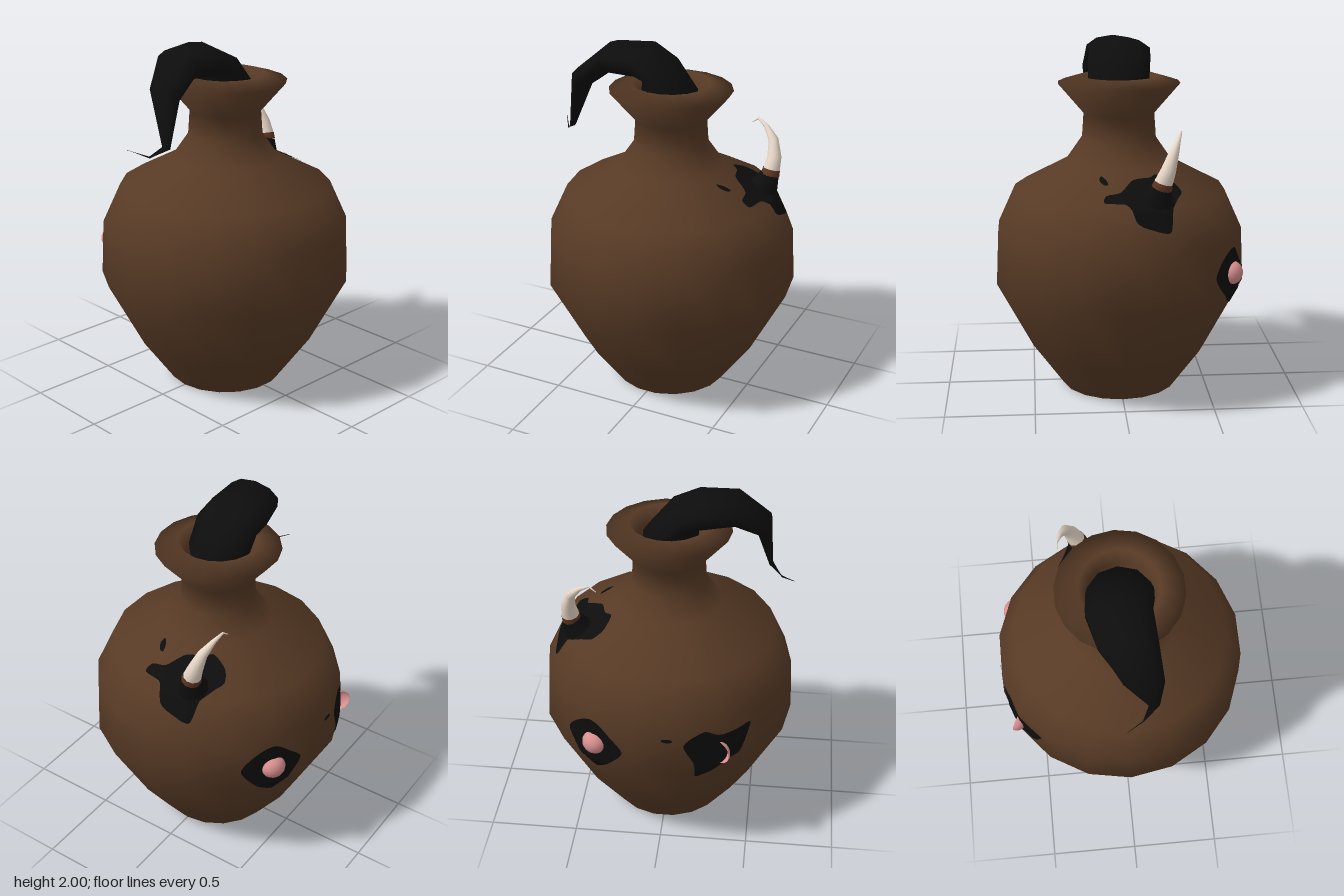
import * as THREE from 'three';

const mat = (name, color) => {
  const m = new THREE.MeshStandardMaterial({ color, side: THREE.DoubleSide });
  m.name = name;
  return m;
};

const SIDES = 18;
// outer wall of the jar, then over the rim and down inside the neck
const WALL = [[0.33, 0], [0.51, 0.25], [0.715, 0.64], [0.7, 0.95], [0.6, 1.17],
  [0.3, 1.33], [0.21, 1.46], [0.2, 1.6], [0.345, 1.77]];
const INSIDE = [[0.215, 1.81], [0.175, 1.72], [0.16, 1.5], [0, 1.48]];

// how far a flat facet lies inside the full circle at a given angle
function facet(angle) {
  const step = (Math.PI * 2) / SIDES;
  const mid = (Math.floor(angle / step) + 0.5) * step;
  return Math.cos(step / 2) / Math.cos(angle - mid);
}

function interpolate(points, key, value) {
  for (let i = 0; i < points.length - 1; i++) {
    const a = points[i], b = points[i + 1];
    const t = (value - a[key]) / (b[key] - a[key]);
    if (t >= 0 && t <= 1) return a[1 - key] + (b[1 - key] - a[1 - key]) * t;
  }
  return points[points.length - 1][1 - key];
}

// shoulder position from plan coordinates
function onShoulder(x, z) {
  const r = Math.hypot(x, z) / facet(Math.atan2(z, x));
  const y = interpolate(WALL.slice(3, 8), 0, r);
  const k = 1 + 0.004 / r;
  return [x * k, y + 0.005, z * k];
}

// belly position from a bearing and a height
function onBelly(angle, y) {
  const r = interpolate(WALL, 1, y) * facet(angle) + 0.006;
  return [r * Math.cos(angle), y, r * Math.sin(angle)];
}

// thin blotch that follows the jar: rings shrinking from an outline to a centre
function blotch(outline, [cu, cv], place, count = 64, rings = 12) {
  const curve = new THREE.CatmullRomCurve3(
    outline.map(([u, v]) => new THREE.Vector3(u, v, 0)), true, 'catmullrom', 0.4);
  const edge = curve.getPoints(count).slice(0, count);
  const pos = [], index = [];
  for (let i = 0; i <= rings; i++) {
    for (const p of edge) {
      const t = i / rings;
      pos.push(...place(cu + (p.x - cu) * t, cv + (p.y - cv) * t));
    }
  }
  for (let i = 0; i < rings; i++) {
    for (let j = 0; j < count; j++) {
      const a = i * count + j, b = i * count + (j + 1) % count;
      index.push(a, a + count, b + count);
      if (i > 0) index.push(a, b + count, b);
    }
  }
  const g = new THREE.BufferGeometry();
  g.setAttribute('position', new THREE.Float32BufferAttribute(pos, 3));
  g.setIndex(index);
  g.computeVertexNormals();
  return g;
}

const oval = (u, v, ru, rv) => Array.from({ length: 8 }, (_, i) =>
  [u + ru * Math.cos(i * Math.PI / 4), v + rv * Math.sin(i * Math.PI / 4)]);

// skin over elliptical rings given as centre and two half axes
function loft(rings, sides = 10) {
  const pos = [], index = [];
  for (const { c, a, b } of rings) {
    for (let j = 0; j < sides; j++) {
      const t = (j / sides) * Math.PI * 2;
      const p = c.clone().addScaledVector(a, Math.cos(t)).addScaledVector(b, Math.sin(t));
      pos.push(p.x, p.y, p.z);
    }
  }
  for (let i = 0; i < rings.length - 1; i++) {
    for (let j = 0; j < sides; j++) {
      const p = i * sides + j, q = i * sides + (j + 1) % sides;
      index.push(p, q, q + sides, p, q + sides, p + sides);
    }
  }
  const g = new THREE.BufferGeometry();
  g.setAttribute('position', new THREE.Float32BufferAttribute(pos, 3));
  g.setIndex(index);
  g.computeVertexNormals();
  return g;
}

// round rings set square to a path of [x, y, z, radius]
function roundRings(path) {
  const v = path.map(p => new THREE.Vector3(p[0], p[1], p[2]));
  return path.map((p, i) => {
    const t = v[Math.min(i + 1, v.length - 1)].clone().sub(v[Math.max(i - 1, 0)]).normalize();
    const a = t.clone().cross(new THREE.Vector3(0, 0, 1)).normalize();
    const b = t.clone().cross(a);
    return { c: v[i], a: a.multiplyScalar(p[3]), b: b.multiplyScalar(p[3]) };
  });
}

export function createModel() {
  const group = new THREE.Group();
  const clay = mat('brown clay', 0x573a25);
  const black = mat('black', 0x0d0d0d);
  const ivory = mat('ivory', 0xe8d8c8);
  const pink = mat('pink', 0xd98f8f);
  const rust = mat('rust brown', 0x5e3522);
  const add = (name, geometry, material) => {
    const m = new THREE.Mesh(geometry, material);
    m.name = name;
    group.add(m);
    return m;
  };

  // jar
  const profile = [...WALL, ...INSIDE].map(([r, y]) => new THREE.Vector2(r, y));
  add('jar', new THREE.LatheGeometry(profile, SIDES, Math.PI / 2), clay);
  add('jarBase', new THREE.CircleGeometry(0.33, SIDES).rotateX(Math.PI / 2), clay);

  // tentacle out of the neck: upper x, y; lower x, y; z centre; z half width
  const tentacle = [
    [0.15, 1.55, -0.16, 1.55, 0, 0.15], [0.145, 1.75, -0.16, 1.76, 0, 0.175],
    [0, 1.92, -0.14, 1.815, -0.005, 0.185], [-0.155, 2, -0.19, 1.82, -0.02, 0.18],
    [-0.37, 1.99, -0.355, 1.83, 0.01, 0.16], [-0.55, 1.83, -0.475, 1.74, 0.075, 0.11],
    [-0.565, 1.52, -0.545, 1.51, 0.13, 0.03], [-0.62, 1.46, -0.62, 1.47, 0.07, 0.006],
    [-0.69, 1.5, -0.688, 1.497, -0.03, 0.001],
  ].map(([ux, uy, lx, ly, z, h]) => ({
    c: new THREE.Vector3((ux + lx) / 2, (uy + ly) / 2, z),
    a: new THREE.Vector3((ux - lx) / 2, (uy - ly) / 2, 0),
    b: new THREE.Vector3(0, 0, -h),
  }));
  add('tentacle', loft(tentacle), black);

  // small horn on the shoulder
  add('hornRoot', loft(roundRings([[0.47, 1.16, -0.17, 0.11], [0.505, 1.23, -0.18, 0.075],
    [0.525, 1.285, -0.19, 0.053]])), black);
  add('hornBand', loft(roundRings([[0.524, 1.28, -0.19, 0.055], [0.528, 1.315, -0.2, 0.051]])), rust);
  add('horn', loft(roundRings([[0.528, 1.305, -0.197, 0.05], [0.533, 1.38, -0.225, 0.041],
    [0.512, 1.47, -0.255, 0.028], [0.455, 1.53, -0.285, 0.014],
    [0.4, 1.56, -0.305, 0.006], [0.36, 1.53, -0.31, 0.002]])), ivory);

  // blotches on the shoulder
  add('shoulderBlotch', blotch([[0.3, -0.18], [0.33, -0.27], [0.39, -0.31], [0.45, -0.285],
    [0.54, -0.25], [0.61, -0.23], [0.62, -0.14], [0.615, -0.05], [0.55, 0], [0.525, 0.11],
    [0.475, 0.1], [0.46, 0.02], [0.37, -0.05], [0.34, -0.14]], [0.48, -0.16], onShoulder), black);
  add('shoulderSpot', blotch([[0.33, 0.12], [0.36, 0.095], [0.4, 0.085], [0.395, 0.11],
    [0.36, 0.13]], [0.365, 0.11], onShoulder, 16, 3), black);

  // blotches on the back of the belly: bearing and height about each bump
  const right = -Math.PI / 3, left = -Math.PI * 2 / 3;
  const around = bearing => (u, v) => onBelly(bearing - u, 0.75 + v);
  add('rightBlotch', blotch([[0, 0.15], [0.15, 0.07], [0.255, -0.01], [0.13, -0.11], [0, -0.17],
    [-0.14, -0.11], [-0.27, 0.01], [-0.16, 0.1]], [0, 0], around(right)), black);
  add('leftBlotch', blotch([[-0.31, 0.08], [-0.15, 0.15], [-0.04, 0.12], [0.12, 0.115],
    [0.26, 0.13], [0.24, 0.07], [0.16, -0.04], [0.02, -0.065], [-0.2, -0.16], [-0.23, -0.05]],
  [0, 0.03], around(left)), black);
  add('backSpot', blotch(oval(-0.44, 0.11, 0.045, 0.012), [-0.44, 0.11], around(left), 16, 3), black);

  // spots under the base
  for (const [x, z, r] of [[-0.05, -0.15, 0.018], [-0.08, -0.22, 0.025], [0.02, -0.26, 0.018]]) {
    const spot = add('baseSpot', new THREE.CircleGeometry(r, 10).rotateX(Math.PI / 2), black);
    spot.position.set(x, -0.002, z);
  }

  // pink bumps: a full dome and a half dome turned sideways
  const dome = add('rightBump', new THREE.SphereGeometry(1, 16, 12), pink);
  dome.scale.set(0.06, 0.066, 0.07);
  dome.position.set(0.35, 0.75, -0.606);
  dome.rotation.y = -right;
  const half = new THREE.SphereGeometry(0.07, 16, 6, 0, Math.PI * 2, 0, Math.PI / 2).scale(1, 0.75, 1);
  const bump = add('leftBump', half, pink);
  bump.position.set(-0.335, 0.75, -0.622);
  bump.quaternion.setFromUnitVectors(new THREE.Vector3(0, 1, 0),
    new THREE.Vector3(-0.55, 0, 0.83).normalize());

  return group;
}
